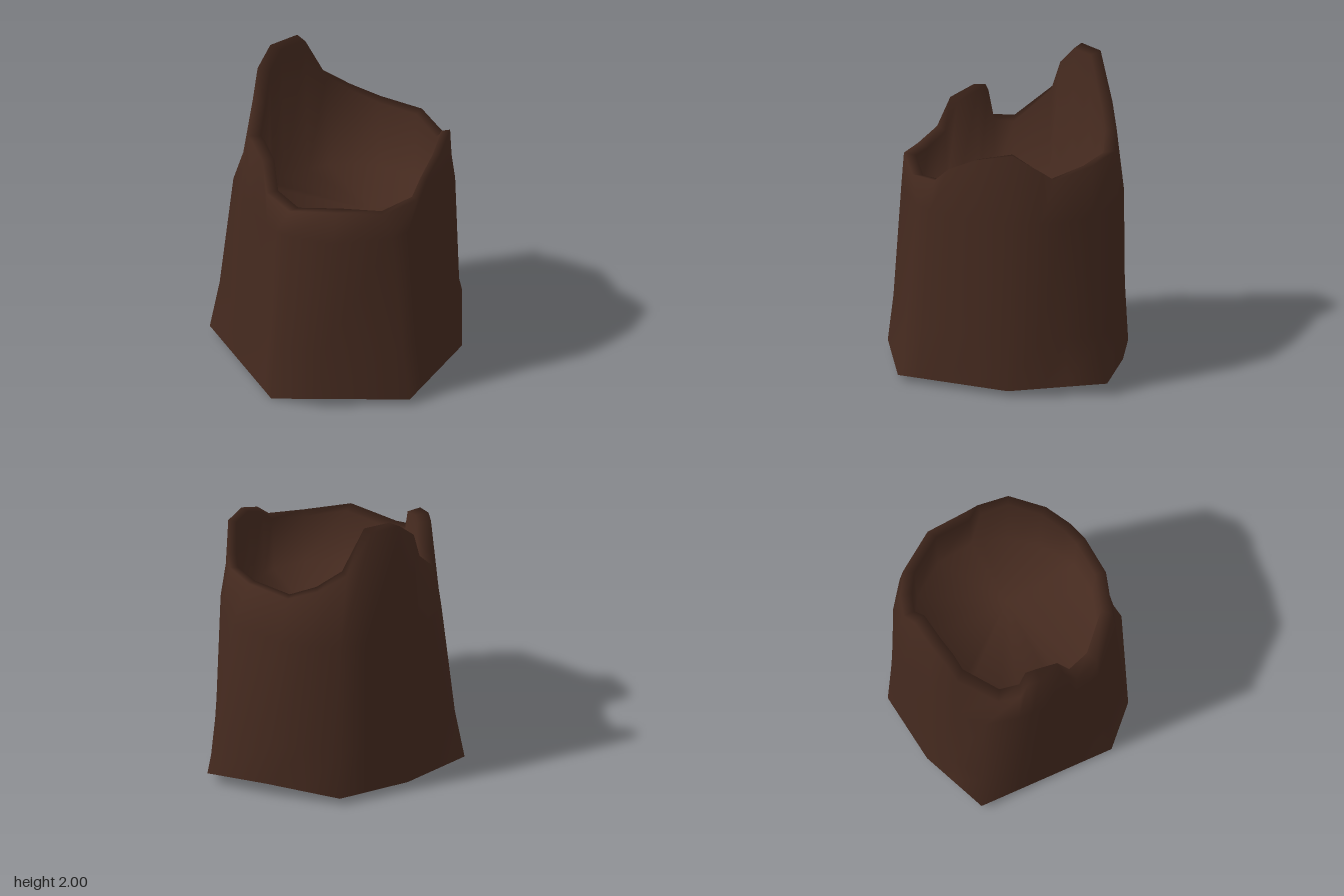
import * as THREE from 'three';

// Broken rim, counter-clockwise from the front: x, y, z, position along the outlines
const RIM = [
  [-0.22, 1.37, 0.62, 0], [0.04, 1.41, 0.62, 0.2], [0.14, 1.51, 0.575, 0.45],
  [0.3, 1.6, 0.48, 0.7], [0.48, 1.65, 0.3, 1], [0.57, 1.52, 0.12, 1.35],
  [0.59, 1.46, 0.04, 1.6], [0.59, 1.5, -0.25, 2], [0.44, 1.5, -0.53, 3],
  [0.28, 1.58, -0.65, 3.5], [0.11, 1.7, -0.73, 4], [-0.06, 2.0, -0.75, 4.4],
  [-0.27, 1.99, -0.74, 5], [-0.39, 1.87, -0.7, 5.3], [-0.45, 1.67, -0.66, 5.5],
  [-0.64, 1.43, -0.46, 6], [-0.69, 1.45, -0.32, 6.3], [-0.71, 1.66, -0.28, 6.4],
  [-0.73, 1.67, -0.2, 6.5], [-0.75, 1.61, -0.03, 6.75], [-0.77, 1.42, 0.06, 6.88],
  [-0.71, 1.36, 0.25, 7], [-0.5, 1.41, 0.5, 8],
];

const toPoints = (list) => list.map((p) => new THREE.Vector3(...p));

// Flared base outline with root corners
const BASE = toPoints([
  [-0.12, 0.04, 0.8], [0.53, 0.04, 0.37], [0.86, 0.08, -0.19],
  [0.58, 0.1, -0.5], [0.19, 0.05, -0.8], [-0.3, 0.05, -0.8],
  [-0.77, 0.05, -0.67], [-0.86, 0, 0.27], [-0.66, 0.06, 0.52],
]);

// Rounder outline below the rim, one point for each base corner
const SHOULDER = new THREE.CatmullRomCurve3(toPoints([
  [-0.15, 1.18, 0.63], [0.49, 1.18, 0.33], [0.68, 1.18, -0.19],
  [0.5, 1.18, -0.52], [0.17, 1.18, -0.76], [-0.28, 1.18, -0.77],
  [-0.65, 1.18, -0.57], [-0.74, 1.18, 0.24], [-0.53, 1.18, 0.5],
]), true);

const CENTRE = new THREE.Vector3(0.05, 1.03, 0.02);

function basePoint(u) {
  const i = Math.floor(u);
  return BASE[i].clone().lerp(BASE[(i + 1) % BASE.length], u - i);
}

// Moves a point towards the hollow's axis and sets its height
function inset(p, scale, y) {
  return p.clone().sub(CENTRE).multiplyScalar(scale).add(CENTRE).setY(y);
}

function createStumpGeometry() {
  const columns = RIM.map(([x, y, z, u]) => {
    const base = basePoint(u);
    const shoulder = SHOULDER.getPoint(u / BASE.length);
    const rim = new THREE.Vector3(x, y, z);
    return [
      base, base.clone().lerp(shoulder, 0.42).setY(0.39), shoulder, // bark
      rim, inset(rim, 0.89, y - 0.01), // broken edge
      inset(rim, 0.86, CENTRE.y), // hollow wall
    ];
  });
  const rings = columns[0].length;
  const n = columns.length;
  const points = [...columns.flat(), CENTRE];

  const index = [];
  for (let i = 0; i < n; i++) {
    const a = i * rings;
    const b = ((i + 1) % n) * rings;
    for (let j = 0; j < rings - 1; j++) {
      index.push(a + j, b + j, b + j + 1, a + j, b + j + 1, a + j + 1);
    }
    // hollow floor
    index.push(a + rings - 1, b + rings - 1, n * rings);
  }

  const geometry = new THREE.BufferGeometry().setFromPoints(points);
  geometry.setIndex(index);
  geometry.computeVertexNormals();
  return geometry;
}

export function createModel() {
  const group = new THREE.Group();
  group.name = 'treeStump';
  const bark = new THREE.MeshStandardMaterial({ color: 0x452a1f, side: THREE.DoubleSide });
  bark.name = 'darkBark';
  const trunk = new THREE.Mesh(createStumpGeometry(), bark);
  trunk.name = 'hollowTrunk';
  group.add(trunk);
  return group;
}
